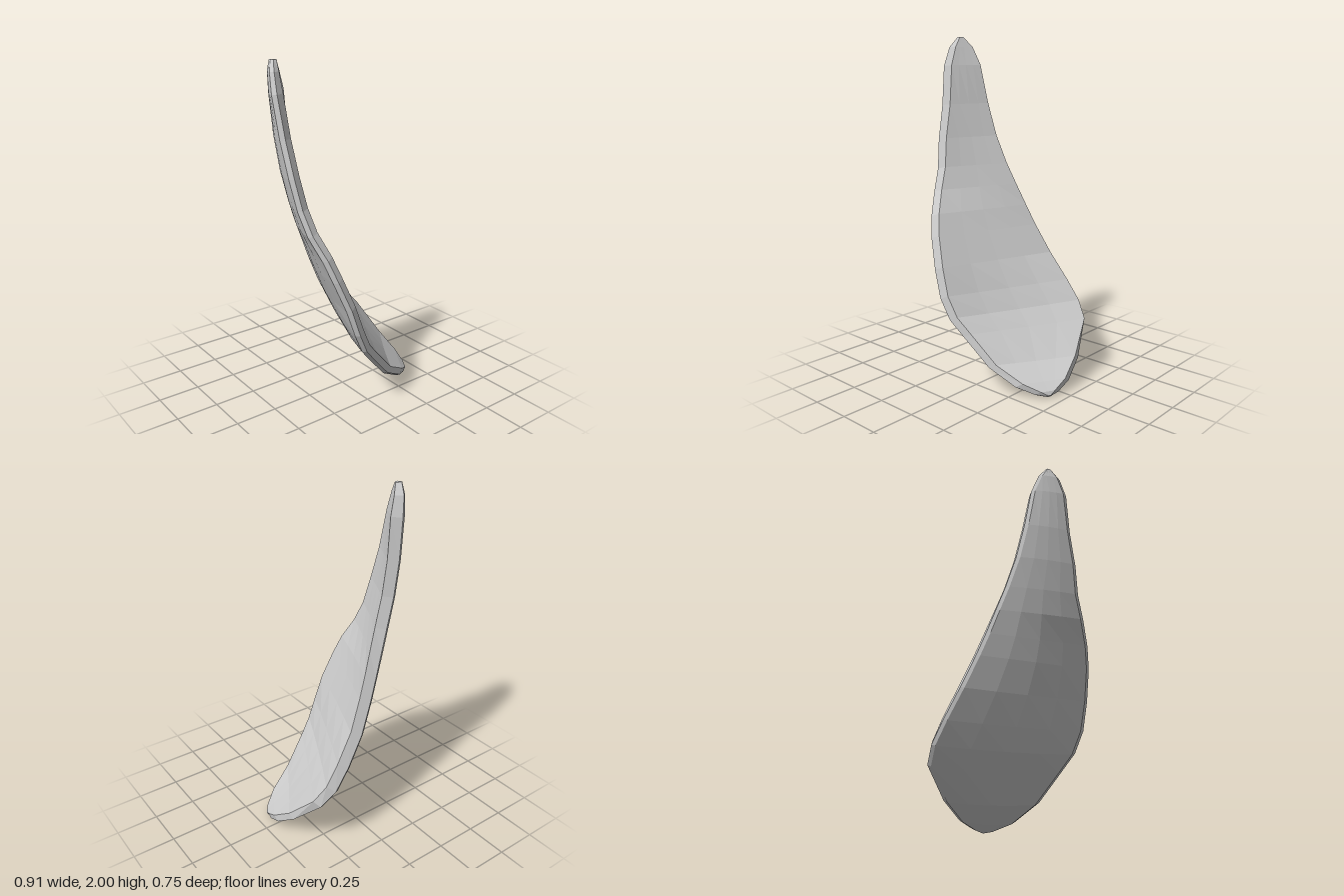
import * as THREE from 'three';

// Outline stations from tip to foot: y, then x and z of the near (+z) and far (-z) edge
const ROWS = [
  [2.0, -0.415, -0.04, -0.415, -0.075],
  [1.94, -0.44, 0.005, -0.395, -0.12],
  [1.83, -0.45, 0.043, -0.365, -0.153],
  [1.6, -0.43, 0.08, -0.33, -0.178],
  [1.4, -0.413, 0.13, -0.28, -0.2],
  [1.23, -0.387, 0.165, -0.215, -0.225],
  [1.1, -0.363, 0.22, -0.16, -0.25],
  [0.97, -0.315, 0.29, -0.105, -0.275],
  [0.85, -0.275, 0.33, -0.05, -0.3],
  [0.68, -0.212, 0.365, 0.04, -0.338],
  [0.52, -0.16, 0.375, 0.155, -0.366],
  [0.4, -0.1, 0.36, 0.25, -0.376],
  [0.31, -0.02, 0.33, 0.335, -0.345],
  [0.15, 0.13, 0.28, 0.415, -0.18],
  [0.06, 0.28, 0.225, 0.445, -0.05],
  [0.02, 0.37, 0.16, 0.44, 0.04],
  [0.005, 0.415, 0.11, 0.425, 0.09],
];

// Closed cross-section: bevelled near rim, squarer far rim, bulging back face
function section(i) {
  const near = (k) => new THREE.Vector3(ROWS[k][1], ROWS[k][0], ROWS[k][2]);
  const far = (k) => new THREE.Vector3(ROWS[k][3], ROWS[k][0], ROWS[k][4]);
  const mid = (k) => near(k).add(far(k)).multiplyScalar(0.5);
  const last = ROWS.length - 1;
  const k = THREE.MathUtils.clamp(i, 1, last - 1);
  const chord = far(k).sub(near(k));
  const along = mid(Math.min(i + 1, last)).sub(mid(Math.max(i - 1, 0)));
  const normal = along.cross(chord).normalize();
  const width = near(i).distanceTo(far(i));
  const thick = Math.min(1, 0.4 + width * 3);
  const upper = THREE.MathUtils.smoothstep(ROWS[i][0], 0.1, 0.5);
  const farRim = 0.035 + 0.035 * upper;
  const at = (s, h) => {
    const p = near(i).lerp(far(i), s).addScaledVector(normal, h * thick);
    p.y = THREE.MathUtils.clamp(p.y, 0, 2);
    return p;
  };
  // Face points between an inset from each edge
  const inset = (d) => Math.min(d / width, 0.2);
  const spread = (a, b) => [0, 0.25, 0.5, 0.75, 1].map((t) => THREE.MathUtils.lerp(inset(a), 1 - inset(b), t));
  const bow = (s) => 4 * s * (1 - s) * Math.min(1, width / 0.7);
  return [
    at(0, 0),
    ...spread(0.035, 0.03 - 0.025 * upper).map((s) => at(s, THREE.MathUtils.lerp(0.033, farRim, s) - 0.01 * bow(s))),
    at(1, 0),
    ...spread(0.025, 0.02).reverse().map((s) => at(s, -0.022 + 0.01 * s - 0.035 * bow(s))),
  ];
}

// Skin the cross-sections and close both ends with fans
function loft(rings) {
  const n = rings[0].length;
  const points = rings.flat();
  const index = [];
  for (let i = 0; i < rings.length - 1; i++) {
    for (let j = 0; j < n; j++) {
      const a = i * n + j, b = i * n + ((j + 1) % n);
      index.push(a, a + n, b + n, a, b + n, b);
    }
  }
  const base = (rings.length - 1) * n;
  for (let j = 1; j < n - 1; j++) {
    index.push(0, j, j + 1, base, base + j + 1, base + j);
  }
  const geometry = new THREE.BufferGeometry().setFromPoints(points);
  geometry.setIndex(index);
  geometry.computeVertexNormals();
  return geometry;
}

export function createModel() {
  const group = new THREE.Group();
  group.name = 'curvedShard';
  const grey = new THREE.MeshStandardMaterial({ color: 0xcccccc, flatShading: true });
  grey.name = 'light grey';
  const blade = new THREE.Mesh(loft(ROWS.map((_, i) => section(i))), grey);
  blade.name = 'blade';
  group.add(blade);
  return group;
}
